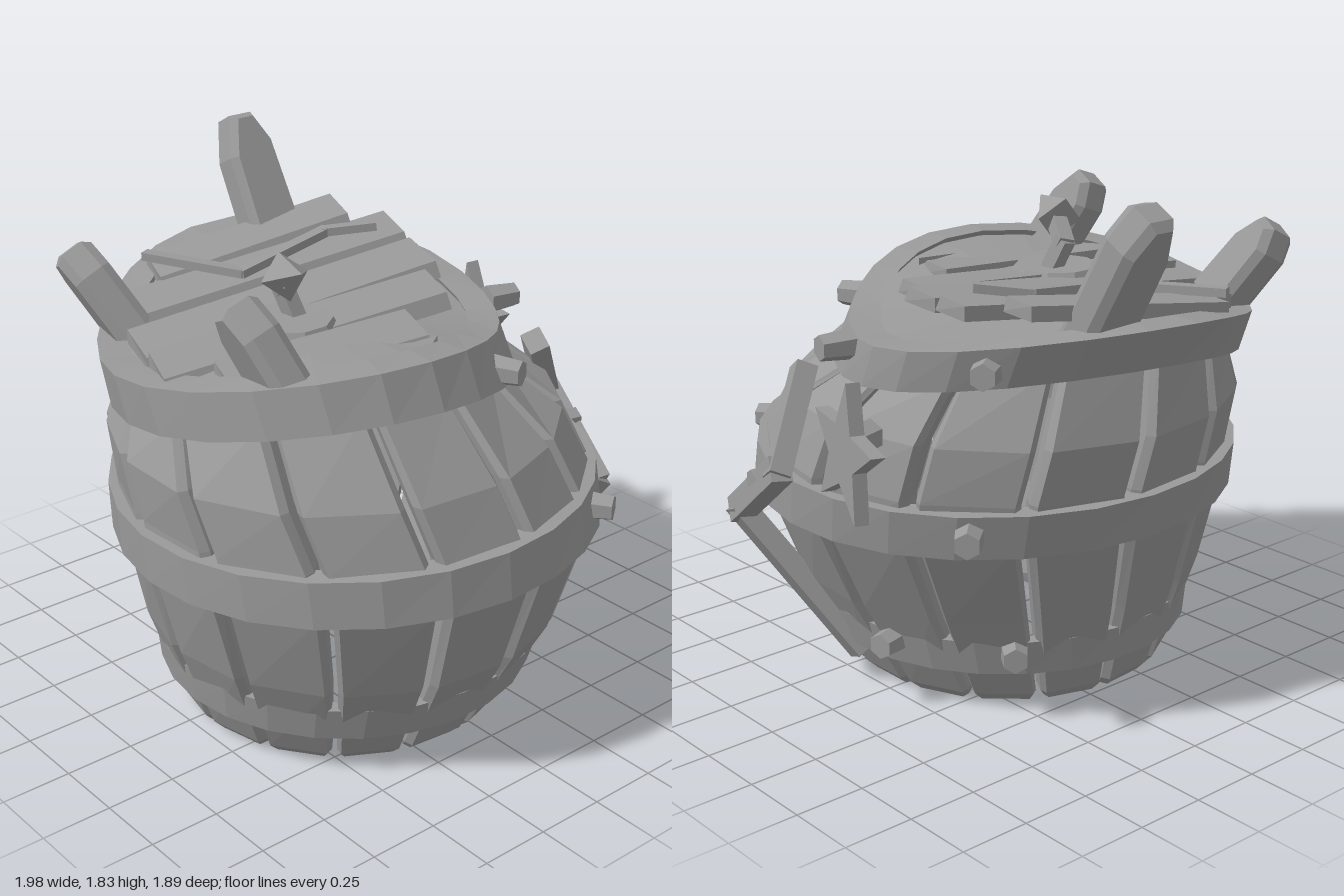
import * as THREE from 'three';

const V = (x, y, z) => new THREE.Vector3(x, y, z);
const wood = new THREE.MeshStandardMaterial({ color: 0x999999, side: THREE.DoubleSide });
wood.name = 'grey wood';
wood.flatShading = true;

// Leaning barrel axis: height, centre x, centre z, outer radius
const PROFILE = [
  [0, 0.08, 0.125, 0.58], [0.37, 0.11, 0.1, 0.75], [0.7, 0.1, 0.065, 0.858], [0.86, 0.07, 0.06, 0.863],
  [1.05, 0.01, 0.09, 0.842], [1.25, -0.075, 0.12, 0.725], [1.42, -0.145, 0.12, 0.69],
];
function axisAt(y) {
  let i = 0;
  while (i < PROFILE.length - 2 && y > PROFILE[i + 1][0]) i++;
  const a = PROFILE[i], b = PROFILE[i + 1];
  const t = THREE.MathUtils.clamp((y - a[0]) / (b[0] - a[0]), 0, 1);
  return a.map((v, k) => v + (b[k] - v) * t);
}
// Saddle-shaped height of the rim, angle measured from the front
const rimTop = (a) => 1.366 - 0.054 * Math.cos(2 * a) + 0.045 * Math.sin(2 * a);
// Point on the barrel, which grows more oval along the x = z diagonal towards the top
function onBarrel(a, level, dr, y = level) {
  const [, cx, cz, r] = axisAt(level);
  const R = (r + dr) * (1 + 0.06 * level ** 1.5 * Math.sin(2 * a));
  return V(cx + Math.sin(a) * R, y, cz + Math.cos(a) * R);
}

// Skin a row of closed cross-sections; wrap joins the last to the first
function loft(sections, wrap) {
  const n = sections[0].length, tris = [];
  const last = wrap ? sections.length : sections.length - 1;
  for (let s = 0; s < last; s++) {
    const A = sections[s], B = sections[(s + 1) % sections.length];
    for (let i = 0; i < n; i++) {
      const j = (i + 1) % n;
      tris.push([A[i], A[j], B[j]], [A[i], B[j], B[i]]);
    }
  }
  if (!wrap) {
    const A = sections[0], B = sections[sections.length - 1];
    for (let i = 1; i < n - 1; i++) tris.push([A[0], A[i + 1], A[i]], [B[0], B[i], B[i + 1]]);
  }
  // Turn all faces outward
  const mid = V(0, 0.7, 0);
  const volume = tris.reduce((sum, [a, b, c]) =>
    sum + a.clone().sub(mid).dot(b.clone().sub(mid).cross(c.clone().sub(mid))), 0);
  const pts = tris.flatMap(([a, b, c]) => (volume < 0 ? [a, c, b] : [a, b, c]));
  const g = new THREE.BufferGeometry().setFromPoints(pts);
  g.computeVertexNormals();
  return g;
}

// Point a mesh's y along one direction and its z near another
function orient(mesh, pos, up, out) {
  const y = up.clone().normalize();
  const x = y.clone().cross(out).normalize();
  mesh.quaternion.setFromRotationMatrix(new THREE.Matrix4().makeBasis(x, y, x.clone().cross(y)));
  mesh.position.copy(pos);
  return mesh;
}

export function createModel() {
  const model = new THREE.Group();
  model.name = 'barrel';
  const add = (name, geo, parent = model) => {
    const m = new THREE.Mesh(geo, wood);
    m.name = name;
    parent.add(m);
    return m;
  };
  const group = (name) => {
    const g = new THREE.Group();
    g.name = name;
    model.add(g);
    return g;
  };

  // Staves: chamfered, bulging and slightly twisted
  const staves = group('staves');
  const COUNT = 15, half = Math.PI / COUNT;
  const outline = [[-1, -0.1], [-1, -0.03], [-0.87, 0], [0.87, 0], [1, -0.03], [1, -0.1]];
  for (let i = 0; i < COUNT; i++) {
    const sections = [0, 0.035, 0.37, 0.7, 0.86, 1.05, 1.25, 1.4].map((y) => {
      const bottom = y === 0;
      const mid = (2 * i + 1) * half - 0.1 * y;
      return outline.map(([u, d]) => {
        const a = mid + u * (half - 0.015) * (bottom ? 0.88 : 1);
        const dr = bottom ? (d < -0.05 ? -0.08 : d - 0.02) : d;
        return onBarrel(a, y, dr, y > 1.3 ? rimTop(a) - 0.03 : y > 1.2 ? rimTop(a) - 0.13 : y);
      });
    });
    add('stave', loft(sections, false), staves);
  }

  // Hoops: each section point is [level, radius offset, height rule]
  const hoop = (name, points, sides = 26) => {
    const sections = [];
    for (let i = 0; i < sides; i++) {
      const a = (i / sides) * Math.PI * 2;
      sections.push(points.map(([level, dr, rule]) => onBarrel(a, level, dr, rule ? rule(a) : level)));
    }
    return add(name, loft(sections, true));
  };
  hoop('bottomHoop', [[0.15, 0.024], [0.28, -0.006], [0.28, -0.06], [0.15, -0.06]]);
  const sag = (y) => (a) => y + 0.012 * Math.sin(a) - 0.012 * Math.cos(2 * a);
  hoop('middleHoop', [[0.7, 0.033, sag(0.69)], [0.86, 0.033, sag(0.85)], [0.86, -0.05, sag(0.85)], [0.7, -0.05, sag(0.69)]]);
  const rimBottom = (a) => rimTop(a) - 0.15;
  hoop('topRim', [[1.25, 0.045, rimBottom], [1.42, 0.08, rimTop], [1.42, -0.04, rimTop], [1.25, -0.03, rimBottom]]);
  // Lid under the loose planks
  hoop('lid', [[1.42, -0.02, (a) => rimTop(a) - 0.02], [1.42, -0.689, () => 1.355],
    [1.42, -0.689, () => 1.315], [1.42, -0.02, (a) => rimTop(a) - 0.06]]);

  // Planks: back left x, back z, front left x, front z, width, back height, front height
  const planks = group('lidPlanks');
  [
    [-0.69, -0.46, -0.79, 0.32, 0.22, 1.52, 1.42],
    [-0.47, -0.54, -0.62, 0.52, 0.23, 1.49, 1.38],
    [-0.24, -0.47, -0.35, 0.7, 0.25, 1.46, 1.36],
    [-0.01, -0.34, -0.12, 0.77, 0.22, 1.43, 1.37],
    [0.2, -0.06, 0.12, 0.68, 0.23, 1.41, 1.39],
    [0.43, 0.0, 0.39, 0.44, 0.07, 1.4, 1.39],
  ].forEach(([bx, bz, fx, fz, w, by, fy]) => {
    const end = (x, y, z) => [V(x, y, z), V(x + w - 0.03, y - 0.015, z + 0.07),
      V(x + w, y - 0.07, z + 0.07), V(x, y - 0.05, z)];
    add('lidPlank', loft([end(bx, by, bz), end(fx, fy, fz)], false), planks);
  });

  // Bars of square section joined into a bent path
  const barPath = (name, pts, w, t, out) => {
    const g = group(name);
    for (let i = 0; i < pts.length - 1; i++) {
      const dir = pts[i + 1].clone().sub(pts[i]);
      const bar = add('bar', new THREE.BoxGeometry(w, dir.length() + w * 0.5, t), g);
      orient(bar, pts[i].clone().lerp(pts[i + 1], 0.5), dir, out);
    }
  };
  barPath('lidSplinter', [V(-0.34, 1.5, -0.38), V(-0.45, 1.48, -0.24), V(-0.4, 1.43, 0.18), V(-0.74, 1.44, 0.35)],
    0.045, 0.03, V(0, 1, 0));
  barPath('backZigzag', [V(0.24, 1.14, -0.66), V(0.11, 0.87, -0.86), V(0.44, 0.63, -0.8), V(0.15, 0.12, -0.52)],
    0.09, 0.075, V(0.3, 0.1, -1));

  // Bent arrow handle on a round plate
  const plate = add('handlePlate', new THREE.CylinderGeometry(0.15, 0.175, 0.05, 10));
  plate.position.set(0.01, 1.385, 0.29);
  barPath('handleStem', [V(0.0, 1.39, 0.25), V(-0.05, 1.5, 0.27), V(0.06, 1.57, 0.33)], 0.055, 0.055, V(0, 0, 1));
  orient(add('handleTip', new THREE.ConeGeometry(0.085, 0.17, 4)), V(0.1, 1.595, 0.34), V(1, 0.4, 0.3), V(0, 0, 1));

  // Broken posts leaning out of the rim: base, tip, facing, width
  const posts = group('posts');
  [
    [V(-0.69, 1.36, -0.2), V(-0.94, 1.81, -0.2), V(-1, -0.4, 0), 0.18],
    [V(-0.46, 1.31, 0.62), V(-0.62, 1.58, 0.74), V(-0.4, 0, 1), 0.15],
    [V(0.42, 1.32, 0.6), V(0.26, 1.63, 0.7), V(-0.2, 0, 1), 0.16],
  ].forEach(([base, tip, out, w]) => {
    const dir = tip.clone().sub(base), L = dir.length() - 0.02;
    const shape = new THREE.Shape([[-0.5, 0], [0.5, 0], [0.45, 0.72], [0.18, 1], [-0.2, 1], [-0.45, 0.8]]
      .map(([u, v]) => new THREE.Vector2(u * w, v * L)));
    const geo = new THREE.ExtrudeGeometry(shape,
      { depth: 0.08, bevelThickness: 0.03, bevelSize: 0.022, bevelSegments: 1 });
    geo.translate(0, 0, -0.04);
    orient(add('post', geo, posts), base, dir, out);
  });

  // Star on the back, held by a short peg
  const starShape = new THREE.Shape();
  for (let i = 0; i < 10; i++) {
    const a = (i / 10) * Math.PI * 2, r = i % 2 ? 0.1 : 0.235;
    starShape[i ? 'lineTo' : 'moveTo'](Math.sin(a) * r, Math.cos(a) * r);
  }
  const starGeo = new THREE.ExtrudeGeometry(starShape, { depth: 0.05, bevelEnabled: false });
  orient(add('star', starGeo), V(-0.28, 1.03, -0.83), V(-0.1, 1, 0.03), V(0.24, 0.05, -1));

  // Pegs driven through the hoops
  const pegs = group('pegs');
  [
    [0.57, 1.27, -0.18], [0.06, 1.27, -0.65], [-0.6, 1.31, -0.56], [-0.26, 1.06, -0.8],
    [0.81, 0.79, -0.4], [0.25, 0.79, -0.81], [-0.58, 0.77, -0.62],
    [0.53, 0.24, -0.37], [-0.1, 0.24, -0.57], [-0.46, 0.24, -0.32],
  ].forEach(([x, y, z]) => {
    const [, cx, cz] = axisAt(y);
    const peg = add('peg', new THREE.CylinderGeometry(0.045, 0.055, 0.12, 6), pegs);
    orient(peg, V(x, y, z), V(x - cx, 0, z - cz), V(0, 1, 0));
  });
  return model;
}
